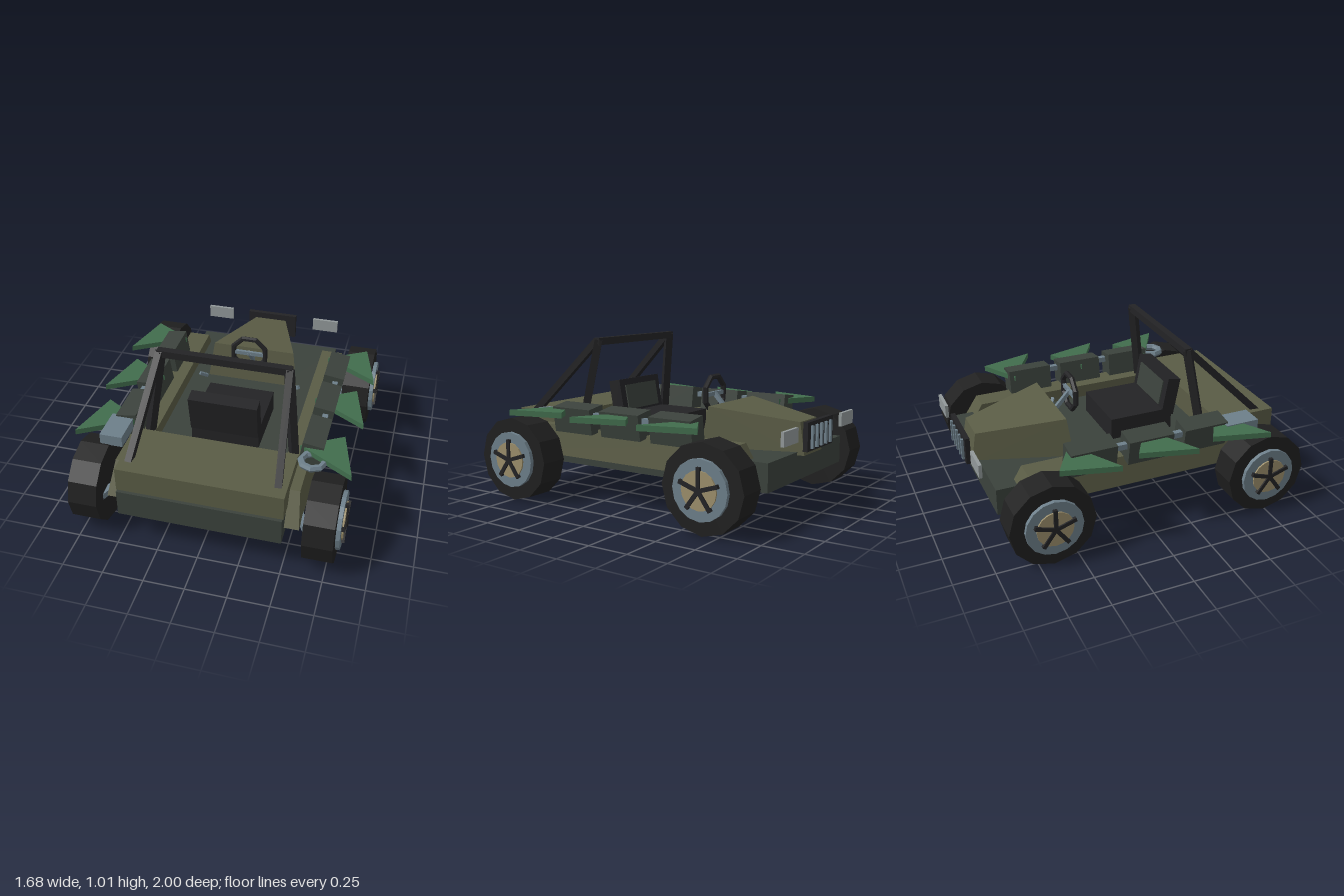
import * as THREE from 'three';
import { ConvexGeometry } from 'three/addons/geometries/ConvexGeometry.js';

const mat = (name, color) => {
  const m = new THREE.MeshStandardMaterial({ color });
  m.name = name;
  m.flatShading = true;
  return m;
};

export function createModel() {
  const root = new THREE.Group();
  root.name = 'buggy';

  const olive = mat('olive paint', 0x5a5c45);
  const darkGreen = mat('dark green grey', 0x3b423c);
  const black = mat('black', 0x232325);
  const rubber = mat('rubber', 0x202020);
  const leaf = mat('leaf green', 0x416d4d);
  const steel = mat('blue steel', 0x6d7f8a);
  const tan = mat('tan hub', 0x9c8f6c);
  const lamp = mat('lamp grey', 0x92999a);

  const add = (name, geo, material, pos = [0, 0, 0], parent = root) => {
    const m = new THREE.Mesh(geo, material);
    m.name = name;
    m.position.set(...pos);
    parent.add(m);
    return m;
  };
  const box = (name, size, pos, material, parent) =>
    add(name, new THREE.BoxGeometry(...size), material, pos, parent);
  // Faceted solid from its corner points
  const solid = (name, pts, material) =>
    add(name, new ConvexGeometry(pts.map(p => new THREE.Vector3(...p))), material);
  // Square bar between two points
  const bar = (name, a, b, w, material) => {
    const A = new THREE.Vector3(...a), B = new THREE.Vector3(...b);
    const m = box(name, [w, w, A.distanceTo(B)], [0, 0, 0], material);
    m.position.copy(A).add(B).multiplyScalar(0.5);
    m.lookAt(B);
    return m;
  };

  // Chassis tub and rear deck
  box('chassisTub', [0.99, 0.17, 1.865], [0, 0.295, 0.0325], darkGreen);
  box('rearDeck', [1.0, 0.155, 0.4], [0, 0.4575, 0.745], olive);

  // Tapered hood
  const hood = [];
  for (const s of [-1, 1]) {
    hood.push([s * 0.31, 0.375, -0.345], [s * 0.275, 0.625, -0.378],
      [s * 0.12, 0.36, -0.94], [s * 0.11, 0.555, -0.905]);
  }
  solid('hood', hood, olive);

  // Grille with upright bars
  box('grille', [0.35, 0.172, 0.03], [0, 0.482, -0.97], black);
  for (let i = -2; i <= 2; i++) {
    box('grilleBar', [0.02, 0.135, 0.025], [i * 0.0625, 0.478, -0.9875], steel);
  }

  // Seat
  box('seatCushion', [0.43, 0.14, 0.42], [0, 0.45, 0.155], black);
  const back = new THREE.Group();
  back.name = 'seatBack';
  back.position.set(0, 0.6, 0.36);
  back.rotation.x = 0.18;
  root.add(back);
  box('backrest', [0.43, 0.25, 0.085], [0, 0, 0], black, back);
  box('backrestPad', [0.33, 0.16, 0.009], [0, 0.005, -0.046], darkGreen, back);

  // Steering wheel, spoke and column
  const ring = add('steeringWheel', new THREE.TorusGeometry(0.115, 0.018, 6, 8), black, [0, 0.663, -0.252]);
  ring.rotation.z = Math.PI / 8;
  box('steeringSpoke', [0.2, 0.025, 0.02], [0, 0.663, -0.252], steel);
  bar('steeringColumn', [0, 0.67, -0.25], [0, 0.53, -0.38], 0.024, steel);

  // Roll cage top bar
  box('rollBarTop', [0.82, 0.045, 0.045], [0, 0.99, 0.366], black);

  for (const s of [-1, 1]) {
    // Sloped side panels with tapered ends
    const panel = [];
    for (const [y, outer, z0, z1] of [[0.275, 0.583, -0.83, 0.9], [0.463, 0.56, -0.72, 0.78]]) {
      for (const x of [0.42, outer]) panel.push([s * x, y, z0], [s * x, y, z1]);
    }
    solid('sidePanel', panel, olive);

    // Roll cage legs and rear stays
    bar('rollBarLeg', [s * 0.39, 1.0, 0.365], [s * 0.462, 0.4, 0.46], 0.048, black);
    bar('rollBarStay', [s * 0.395, 0.995, 0.37], [s * 0.447, 0.51, 0.86], 0.042, black);

    box('headlight', [0.18, 0.085, 0.02], [s * 0.393, 0.518, -0.978], lamp);
    bar('lever', [s * 0.3, 0.42, -0.275], [s * 0.345, 0.45, -0.245], 0.02, steel);
    box('sideRail', [0.035, 0.035, 0.9], [s * 0.592, 0.555, 0.02], steel);

    for (let i = -1; i <= 1; i++) {
      // Tilted side pods
      const pod = box('sidePod', [0.13, 0.16, 0.29], [s * 0.57, 0.525, 0.02 + i * 0.365], darkGreen);
      pod.rotation.z = -s * 0.15;
      // Leaf shaped fins
      const z = 0.03 + i * 0.485, fin = [];
      for (const y of [0.547, 0.582]) {
        fin.push([s * 0.502, y, z], [s * 0.746, y, z - 0.145], [s * 0.835, y, z + 0.2]);
      }
      solid('fin', fin, leaf);
    }

    // Wheels: tyre, rim, hub and five spokes
    for (const z of [0.738, -0.66]) {
      const wheel = new THREE.Group();
      wheel.name = 'wheel';
      wheel.position.set(s * 0.705, 0.262, z);
      wheel.rotation.y = s * Math.PI / 2;
      root.add(wheel);
      const disc = (name, r, depth, n, at, material) => {
        const g = new THREE.CylinderGeometry(r, r, depth, n).rotateX(Math.PI / 2);
        add(name, g, material, [0, 0, at], wheel);
      };
      disc('tyre', 0.262, 0.18, 12, 0, rubber);
      disc('rim', 0.175, 0.03, 16, 0.1, steel);
      disc('hub', 0.112, 0.02, 16, 0.115, tan);
      for (let k = 0; k < 5; k++) {
        const g = new THREE.BoxGeometry(0.024, 0.13, 0.02).translate(0, 0.065, 0);
        const spoke = add('spoke', g, black, [0, 0, 0.125], wheel);
        spoke.rotation.z = k * Math.PI * 2 / 5;
      }
      // Suspension arm
      bar('suspensionArm', [s * 0.49, 0.3, z - 0.09], [s * 0.64, 0.245, z + 0.16], 0.04, steel);
    }
  }

  // Gear carried on the rear corners
  box('gearBox', [0.14, 0.07, 0.215], [-0.605, 0.552, 0.617], steel);
  const coil = add('coil', new THREE.TorusGeometry(0.07, 0.022, 6, 8), steel, [0.595, 0.552, 0.605]);
  coil.rotation.x = Math.PI / 2;

  return root;
}
